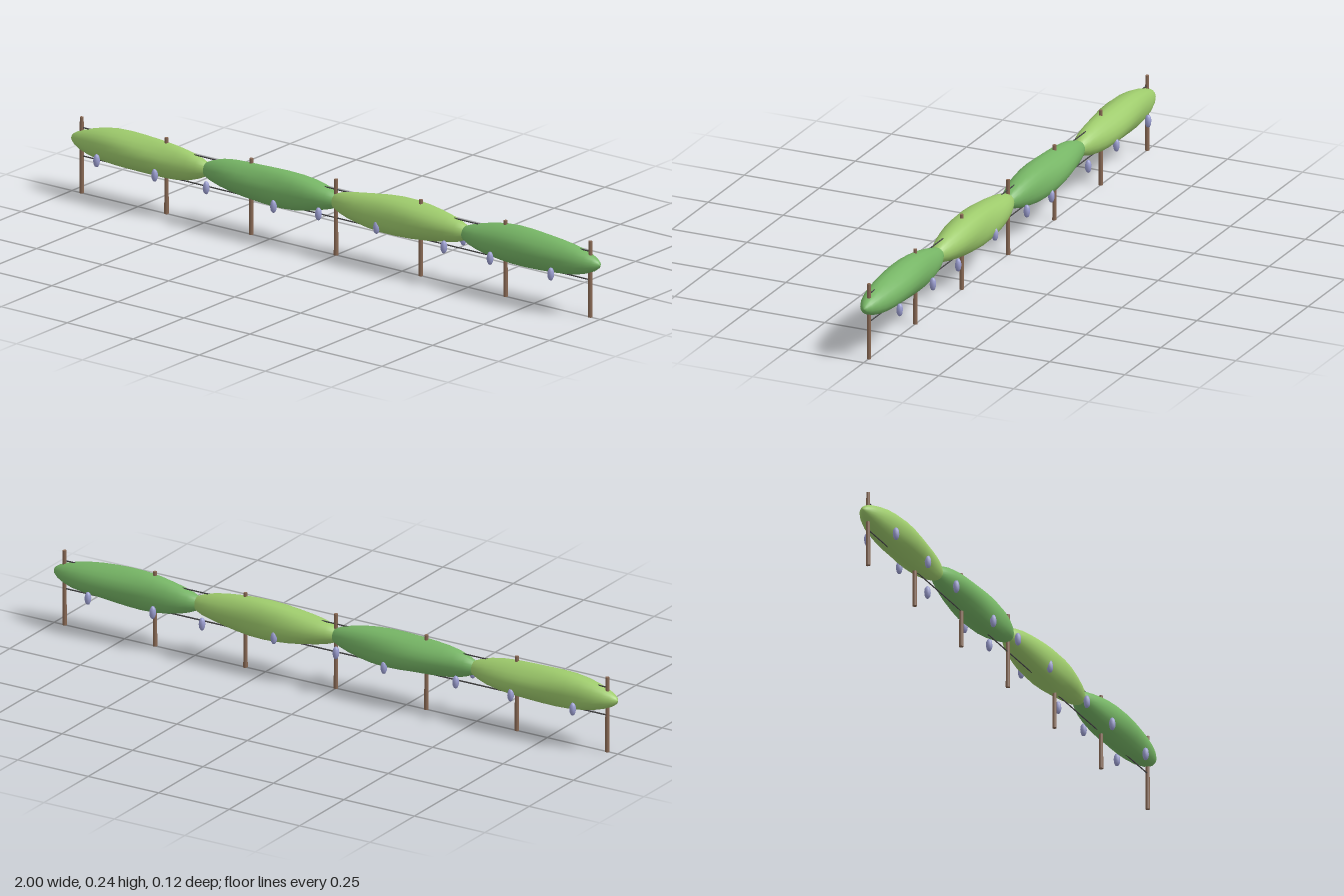
import * as THREE from 'three';

const material = (color) => new THREE.MeshStandardMaterial({ color });

export function createModel() {
  const model = new THREE.Group();
  const wood = material(0x8a6a55);
  const wire = material(0x444444);
  const fruit = material(0x9c9fd2);
  const leaves = [material(0x9ecb6c), material(0x76b565)];

  const add = (name, geometry, mat, x, y, z) => {
    const mesh = new THREE.Mesh(geometry, mat);
    mesh.name = name;
    mesh.position.set(x, y, z);
    model.add(mesh);
    return mesh;
  };

  // Row of evenly spaced posts
  const postGeometry = new THREE.CylinderGeometry(0.006, 0.007, 0.241, 8);
  for (let i = -3; i <= 3; i++) add('post', postGeometry, wood, i * 0.321, 0.1205, 0);

  // Two trellis wires
  const wireGeometry = new THREE.CylinderGeometry(0.002, 0.002, 1.926, 6).rotateZ(Math.PI / 2);
  add('lowerWire', wireGeometry, wire, 0, 0.118, 0);
  add('upperWire', wireGeometry, wire, 0, 0.208, 0);

  // Long, gently lumpy hedge of vine leaves
  const foliage = (seed) => {
    const geometry = new THREE.SphereGeometry(1, 20, 16).rotateZ(Math.PI / 2);
    const p = geometry.attributes.position;
    const v = new THREE.Vector3();
    for (let i = 0; i < p.count; i++) {
      v.fromBufferAttribute(p, i);
      const lump = 1 + 0.045 * Math.sin(4 * v.x + 3 * v.y + seed)
        + 0.035 * Math.sin(5 * v.z - 3 * v.x + seed * 2.3);
      p.setXYZ(i, v.x * 0.265, v.y * 0.059 * lump, v.z * 0.055 * lump);
    }
    geometry.computeVertexNormals();
    // Match normals along the sphere's duplicated seam
    const n = geometry.attributes.normal;
    for (let row = 0; row <= 16; row++) {
      const a = row * 21, b = a + 20;
      v.fromBufferAttribute(n, a).add(new THREE.Vector3().fromBufferAttribute(n, b)).normalize();
      n.setXYZ(a, v.x, v.y, v.z);
      n.setXYZ(b, v.x, v.y, v.z);
    }
    return geometry;
  };
  [-0.735, -0.245, 0.245, 0.735].forEach((x, i) =>
    add('foliage', foliage(1 + i * 1.7), leaves[i % 2], x, 0.171, 0));

  // Grape bunches hanging in pairs on both sides
  const bunchGeometry = new THREE.SphereGeometry(1, 8, 6).scale(0.0105, 0.021, 0.0105);
  const bunches = [
    [-0.87, 0.134], [-0.65, 0.133], [-0.455, 0.133], [-0.2, 0.126], [-0.03, 0.137],
    [0.19, 0.139], [0.445, 0.129], [0.62, 0.129], [0.85, 0.126],
  ];
  for (const [x, y] of bunches)
    for (const side of [-1, 1]) add('grapeBunch', bunchGeometry, fruit, x, y, side * 0.048);

  return model;
}
